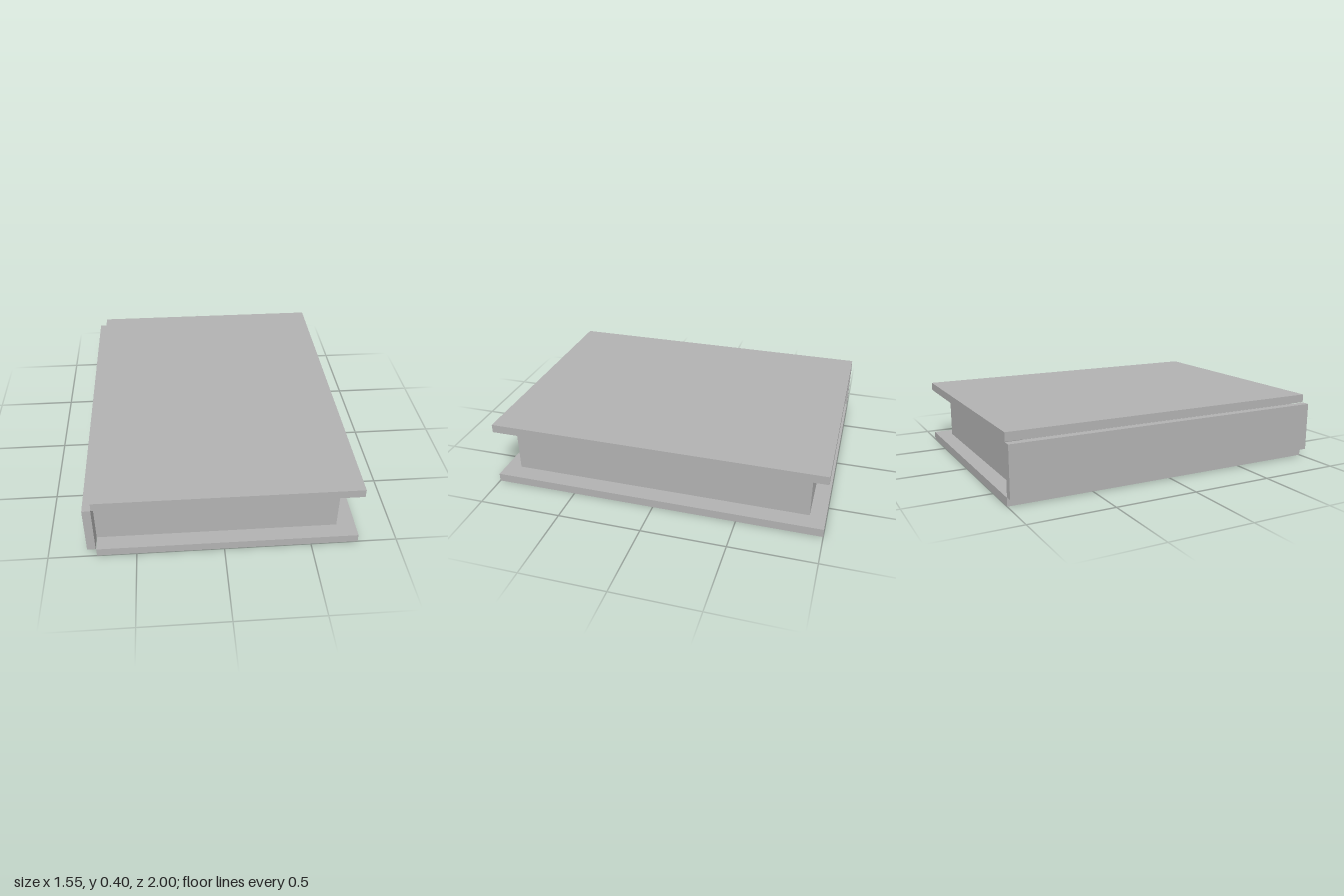
import * as THREE from 'three';

export function createModel() {
  const model = new THREE.Group();
  model.name = 'book';

  const grey = new THREE.MeshStandardMaterial({ color: 0xb2b2b2 });
  grey.name = 'grey';

  // Box given by its extents in x and y, and its half depth in z
  function slab(name, x0, x1, y0, y1, halfDepth) {
    const mesh = new THREE.Mesh(new THREE.BoxGeometry(x1 - x0, y1 - y0, halfDepth * 2), grey);
    mesh.position.set((x0 + x1) / 2, (y0 + y1) / 2, 0);
    mesh.name = name;
    model.add(mesh);
  }

  // Two covers, overhanging the page block on three sides
  slab('bottomCover', -0.725, 0.773, 0, 0.05, 1);
  slab('topCover', -0.725, 0.773, 0.352, 0.402, 1);

  // Spine, standing just outside the covers
  slab('spine', -0.775, -0.727, 0.053, 0.35, 1);

  // Page block
  slab('pages', -0.727, 0.663, 0.05, 0.352, 0.907);

  return model;
}
